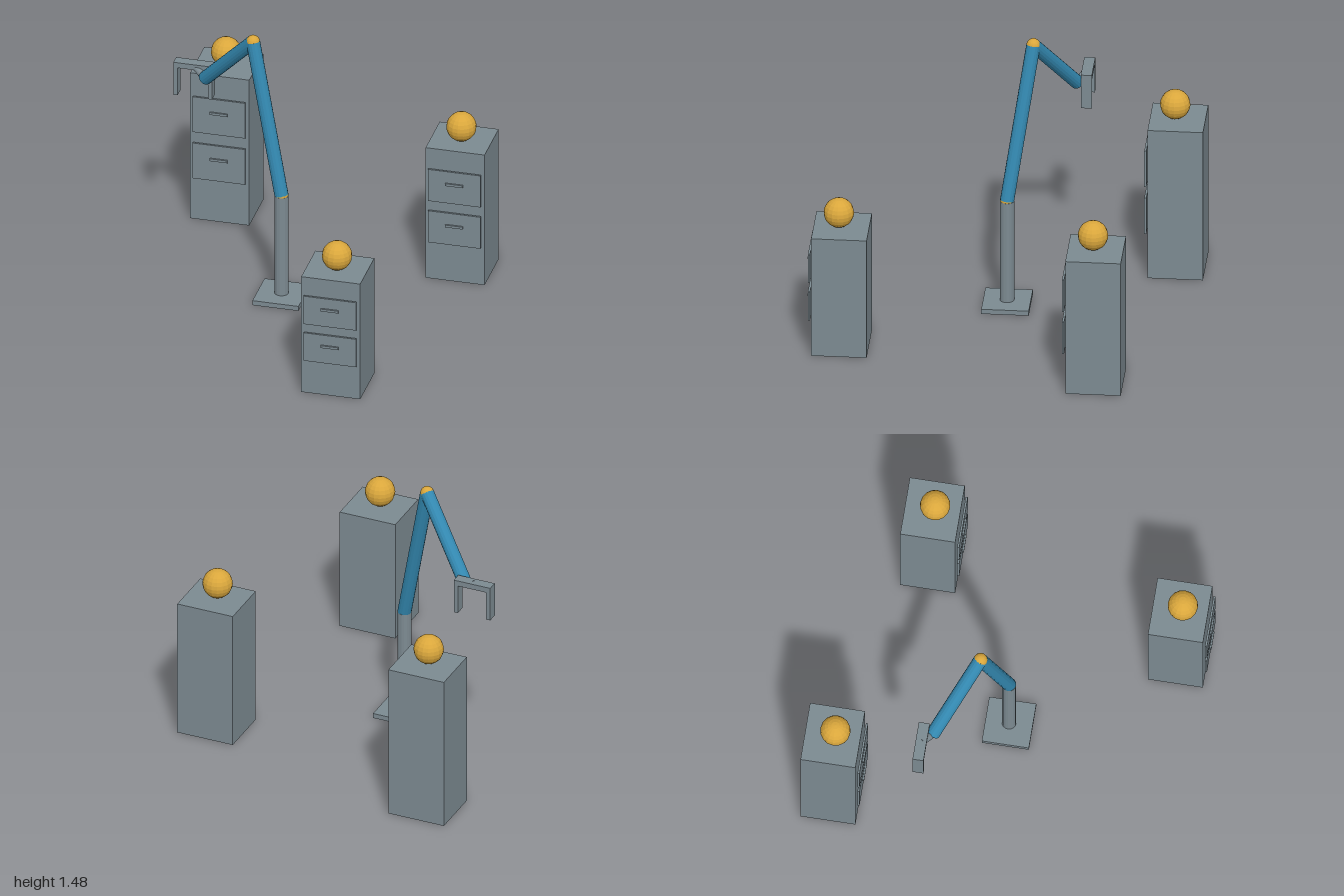
import * as THREE from 'three';

const mat = (name, color) => {
  const m = new THREE.MeshStandardMaterial({ color, flatShading: true });
  m.name = name;
  return m;
};

export function createModel() {
  const model = new THREE.Group();
  model.name = 'robotArmAndCabinets';
  const steel = mat('steelGrey', 0x7c8a91);
  const blue = mat('armBlue', 0x3388b0);
  const gold = mat('goldenYellow', 0xdaa73c);

  const add = (parent, name, geometry, material, x, y, z) => {
    const mesh = new THREE.Mesh(geometry, material);
    mesh.name = name;
    mesh.position.set(x, y, z);
    parent.add(mesh);
    return mesh;
  };
  const box = (parent, name, w, h, d, x, y, z) =>
    add(parent, name, new THREE.BoxGeometry(w, h, d), steel, x, y, z);
  const ball = (parent, name, r, x, y, z) =>
    add(parent, name, new THREE.SphereGeometry(r, 16, 12), gold, x, y, z);
  // Cylinder running from point a to point b
  const rod = (parent, name, a, b, r, material) => {
    const dir = b.clone().sub(a);
    const mid = a.clone().add(b).multiplyScalar(0.5);
    const mesh = add(parent, name, new THREE.CylinderGeometry(r, r, dir.length(), 16), material, mid.x, mid.y, mid.z);
    mesh.quaternion.setFromUnitVectors(new THREE.Vector3(0, 1, 0), dir.normalize());
    return mesh;
  };

  // Cabinets: [centre x, back z, height], each with two drawers and a ball on top
  for (const [x, z, h] of [[-0.681, -1, 0.871], [0.678, -0.687, 0.779], [0.362, 0.68, 0.69]]) {
    const cabinet = new THREE.Group();
    cabinet.name = 'cabinet';
    cabinet.position.set(x, 0, z);
    model.add(cabinet);
    box(cabinet, 'cabinetBody', 0.32, h, 0.292, 0, h / 2, 0.146);
    for (const level of [0.41, 0.728]) {
      box(cabinet, 'drawerFront', 0.285, 0.242 * h, 0.011, 0, level * h, 0.3055);
      box(cabinet, 'drawerHandle', 0.096, 0.014, 0.01, 0, (level + 0.025) * h, 0.315);
    }
    ball(cabinet, 'ball', 0.08, 0, h + 0.08, 0.16);
  }

  // Robot arm
  const arm = new THREE.Group();
  arm.name = 'robotArm';
  model.add(arm);
  const foot = new THREE.Vector3(-0.16, 0.02, 0);
  const shoulder = new THREE.Vector3(-0.16, 0.61, 0);
  const elbow = new THREE.Vector3(-0.346, 1.438, -0.122);
  const wrist = new THREE.Vector3(-0.66, 1.068, -0.325);
  const grip = new THREE.Vector3(-0.733, 1.111, -0.376);

  box(arm, 'basePlate', 0.25, 0.027, 0.25, -0.16, 0.0135, 0);
  rod(arm, 'post', foot, shoulder, 0.038, steel);
  rod(arm, 'upperArm', shoulder, elbow, 0.037, blue);
  rod(arm, 'forearm', elbow, wrist, 0.037, blue);
  ball(arm, 'shoulderJoint', 0.037, ...shoulder.toArray());
  ball(arm, 'elbowJoint', 0.037, ...elbow.toArray());
  rod(arm, 'wristRod', wrist, grip, 0.02, steel);

  // Gripper: crossbar with two fingers
  box(arm, 'gripperBar', 0.21, 0.031, 0.058, ...grip.toArray());
  for (const side of [-1, 1]) {
    box(arm, 'gripperFinger', 0.023, 0.17, 0.058, grip.x + side * 0.0935, 1.017, grip.z);
  }
  return model;
}
